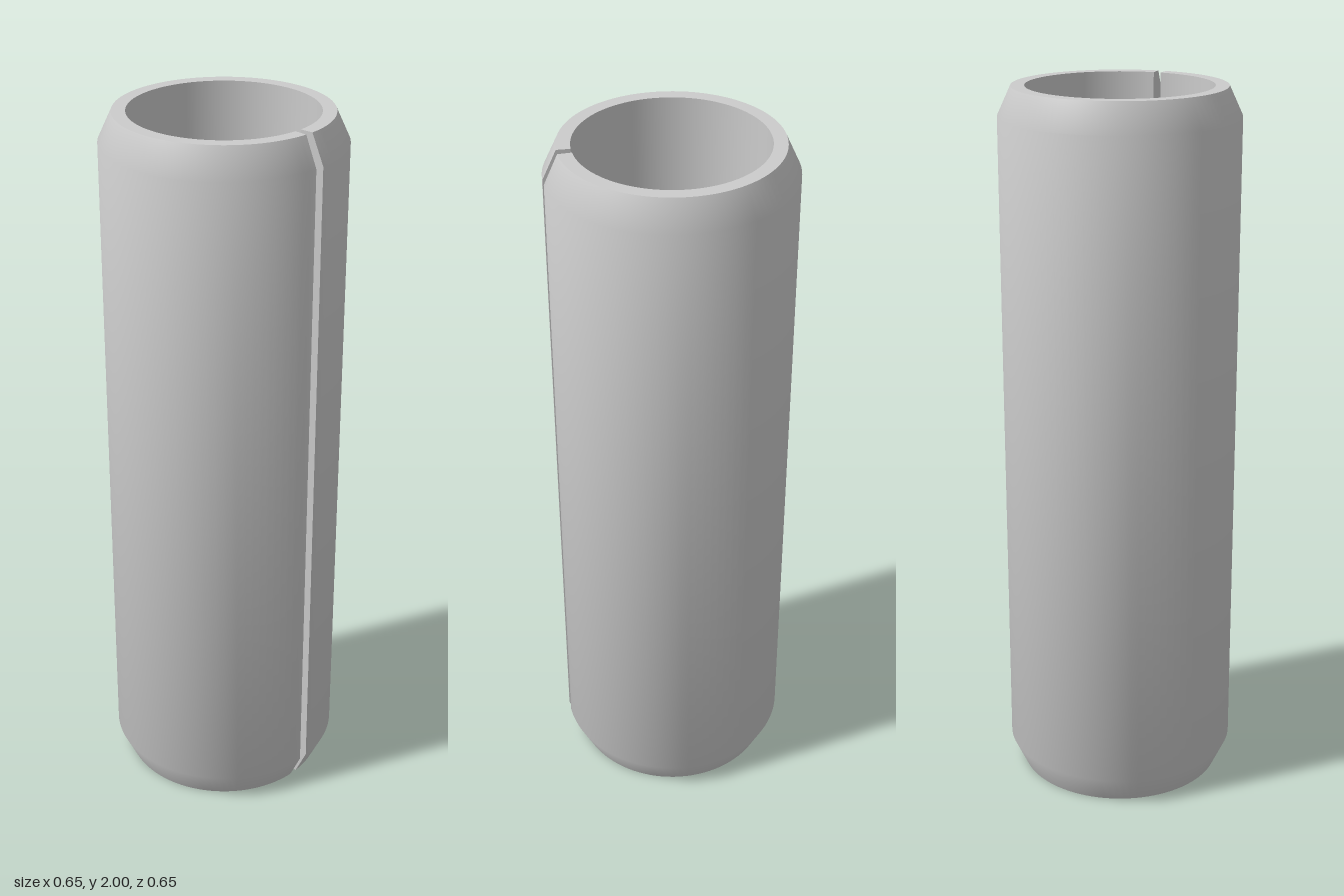
import * as THREE from 'three';
import { toCreasedNormals } from 'three/addons/utils/BufferGeometryUtils.js';

const HEIGHT = 2, OUTER = 0.327, RIM = 0.29, INNER = 0.253, CHAMFER = 0.08;
const HALF_GAP = 0.04; // half of the slot's angle, in radians

export function createModel() {
  const group = new THREE.Group();
  group.name = 'slottedSpringPin';
  const material = new THREE.MeshStandardMaterial({ color: 0xcccccc });

  // Wall section: up the outside, across the rim, down the bore
  const section = [
    [INNER, 0], [RIM, 0], [OUTER, CHAMFER], [OUTER, HEIGHT - CHAMFER],
    [RIM, HEIGHT], [INNER, HEIGHT],
  ].map(([r, y]) => new THREE.Vector2(r, y));

  // Chamfered tube, left open along a narrow slot on the +x side
  const tube = new THREE.LatheGeometry(
    [...section, section[0]], 96, Math.PI / 2 + HALF_GAP, 2 * (Math.PI - HALF_GAP));
  const sleeve = new THREE.Mesh(toCreasedNormals(tube, Math.PI / 6), material);
  sleeve.name = 'sleeve';
  group.add(sleeve);

  // Flat radial faces on both sides of the slot
  for (const side of [1, -1]) {
    const face = new THREE.ShapeGeometry(new THREE.Shape(section));
    // The section is symmetric in height, so turning it over reverses its facing
    if (side < 0) face.translate(0, -HEIGHT / 2, 0).rotateX(Math.PI).translate(0, HEIGHT / 2, 0);
    face.rotateY(side * HALF_GAP);
    const mesh = new THREE.Mesh(face, material);
    mesh.name = side > 0 ? 'slotFaceBack' : 'slotFaceFront';
    group.add(mesh);
  }
  return group;
}
